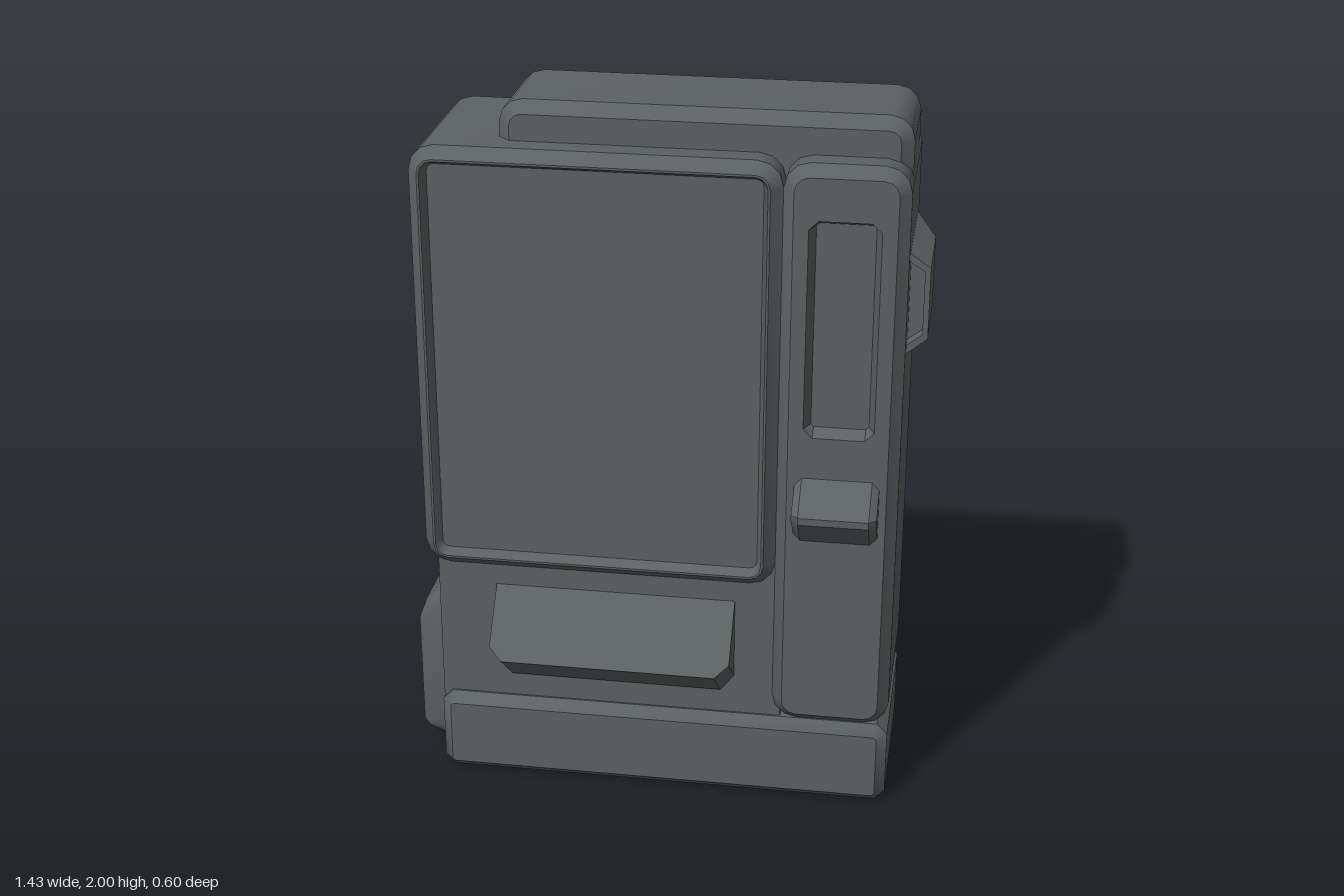
import * as THREE from 'three';
import { toCreasedNormals } from 'three/addons/utils/BufferGeometryUtils.js';

const casing = new THREE.MeshStandardMaterial({ color: 0x5c6161 });
casing.name = 'dark grey casing';

// axis mappings from section coordinates (u, v) and level w to x, y, z
const alongZ = (u, v, w) => [u, v, w];
const alongX = (u, v, w) => [w, u, v];
const towardRight = (u, v, w) => [-w, v, u];

// counter-clockwise rounded rectangle; steps = 1 gives a plain chamfer
function roundRect(x0, y0, x1, y1, r, inset = 0, steps = 3) {
  const k = Math.max(r - inset, 0.008);
  x0 += inset; y0 += inset; x1 -= inset; y1 -= inset;
  const centres = [[x1 - k, y0 + k], [x1 - k, y1 - k], [x0 + k, y1 - k], [x0 + k, y0 + k]];
  const pts = [];
  centres.forEach(([cx, cy], q) => {
    for (let i = 0; i <= steps; i++) {
      const a = (q - 1 + i / steps) * Math.PI / 2;
      pts.push([cx + k * Math.cos(a), cy + k * Math.sin(a)]);
    }
  });
  return pts;
}

// skin over a list of [section, level], with optional end caps
function loft(rings, map = alongZ, capStart = true, capEnd = true) {
  const pos = [];
  const put = (p, w) => pos.push(...map(p[0], p[1], w));
  for (let k = 0; k < rings.length - 1; k++) {
    const [a, wa] = rings[k], [b, wb] = rings[k + 1];
    for (let i = 0; i < a.length; i++) {
      const j = (i + 1) % a.length;
      put(a[i], wa); put(a[j], wa); put(b[j], wb);
      put(a[i], wa); put(b[j], wb); put(b[i], wb);
    }
  }
  const cap = ([pts, w], flip) => {
    const tris = THREE.ShapeUtils.triangulateShape(pts.map(p => new THREE.Vector2(...p)), []);
    for (const t of tris) for (const i of flip ? [t[2], t[1], t[0]] : t) put(pts[i], w);
  };
  if (capStart) cap(rings[0], true);
  if (capEnd) cap(rings[rings.length - 1], false);
  const g = new THREE.BufferGeometry();
  g.setAttribute('position', new THREE.Float32BufferAttribute(pos, 3));
  return toCreasedNormals(g, 0.6);
}

export function createModel() {
  const model = new THREE.Group();
  model.name = 'vendingMachine';
  const add = (name, geometry) => {
    const m = new THREE.Mesh(geometry, casing);
    m.name = name;
    model.add(m);
    return m;
  };
  const back = -0.3, front = 0.19;

  // display cabinet with a shallow sunken window
  const cab = (inset) => roundRect(-0.66, 0.67, 0.33, 1.895, 0.07, inset);
  add('displayCabinet', loft([
    [cab(0), back], [cab(0), front - 0.035], [cab(0.03), front],
    [cab(0.036), front], [cab(0.05), front - 0.03],
  ]));

  // control column, its front face cut by a slot
  const col = (inset) => roundRect(0.33, 0.25, 0.66, 1.895, 0.07, inset);
  add('controlColumn', loft([[col(0), back], [col(0), front - 0.035], [col(0.03), front]], alongZ, true, false));
  const slot = (inset) => roundRect(0.4, 1.14, 0.59, 1.75, 0.025, inset, 1);
  const toVec = (pts) => pts.map(p => new THREE.Vector2(...p));
  const face = new THREE.Shape(toVec(col(0.03)));
  face.holes.push(new THREE.Path(toVec(slot(0))));
  add('columnFace', new THREE.ShapeGeometry(face)).position.z = front;
  add('columnSlot', loft([[slot(0), front], [slot(0.017), front - 0.04]], alongZ, false, true));

  // base plinth and the set-back lower panel
  const base = (inset) => roundRect(-0.63, 0, 0.66, 0.25, 0.03, inset, 1);
  add('base', loft([[base(0), back], [base(0), front - 0.03], [base(0.028), front]]));
  const panel = add('lowerPanel', new THREE.BoxGeometry(0.98, 0.56, 0.435));
  panel.position.set(-0.137, 0.46, -0.0625);

  // roof unit, bevelled front and back
  const roof = (inset) => roundRect(-0.435, 1.7, 0.656, 2, 0.065, inset);
  add('roofUnit', loft([[roof(0.033), -0.26], [roof(0), -0.227], [roof(0), 0.057], [roof(0.033), 0.09]]));

  // tilted dispenser hood with clipped lower corners
  const hood = new THREE.Shape(toVec([
    [-0.302, 0], [0.302, 0], [0.34, 0.04], [0.34, 0.222], [-0.34, 0.222], [-0.34, 0.04],
  ]));
  const hoodGeo = new THREE.ExtrudeGeometry(hood, { depth: 0.18, bevelEnabled: false });
  hoodGeo.translate(0, 0, -0.18);
  hoodGeo.rotateX(-0.7);
  add('dispenserHood', hoodGeo).position.set(-0.12, 0.44, 0.3);

  // wedge shaped coin knob
  const wedge = [[0.83, 0.188], [1.022, 0.188], [0.945, 0.283], [0.925, 0.283]];
  const wedgeEnd = [[0.852, 0.188], [1.0, 0.188], [0.943, 0.262], [0.927, 0.262]];
  add('coinKnob', loft([[wedgeEnd, 0.38], [wedge, 0.4], [wedge, 0.59], [wedgeEnd, 0.61]], alongX));

  // side vent: tapering hood, open toward the front
  const vent = (x, y0, y1, yo0, yo1) => [[0.655, y0], [x, yo0], [x, yo1], [0.655, y1]];
  const full = vent(0.715, 1.36, 1.65, 1.41, 1.607);
  const inner = vent(0.7, 1.385, 1.625, 1.42, 1.597);
  add('sideVent', loft([
    [vent(0.656, 1.36, 1.65, 1.361, 1.649), -0.245], [full, -0.145], [full, 0.105],
    [inner, 0.105], [inner, 0.06],
  ]));

  // side box with sloping top and a notch at the bottom
  const box = (top, inset) => {
    const p = roundRect(-0.235, 0.04, 0.09, top, 0.05, inset);
    const y = 0.04 + inset;
    return [...p, [-0.06, y], [-0.06, 0.2], [0.0, 0.2], [0.0, y]];
  };
  add('sideBox', loft([
    [box(0.57, 0), -0.0 + 0.62], [box(0.53, 0), 0.66], [box(0.49, 0.012), 0.7], [box(0.465, 0.032), 0.718],
  ], towardRight));
  const core = add('sideBoxNotch', new THREE.BoxGeometry(0.08, 0.17, 0.08));
  core.position.set(-0.655, 0.14, -0.03);

  return model;
}
